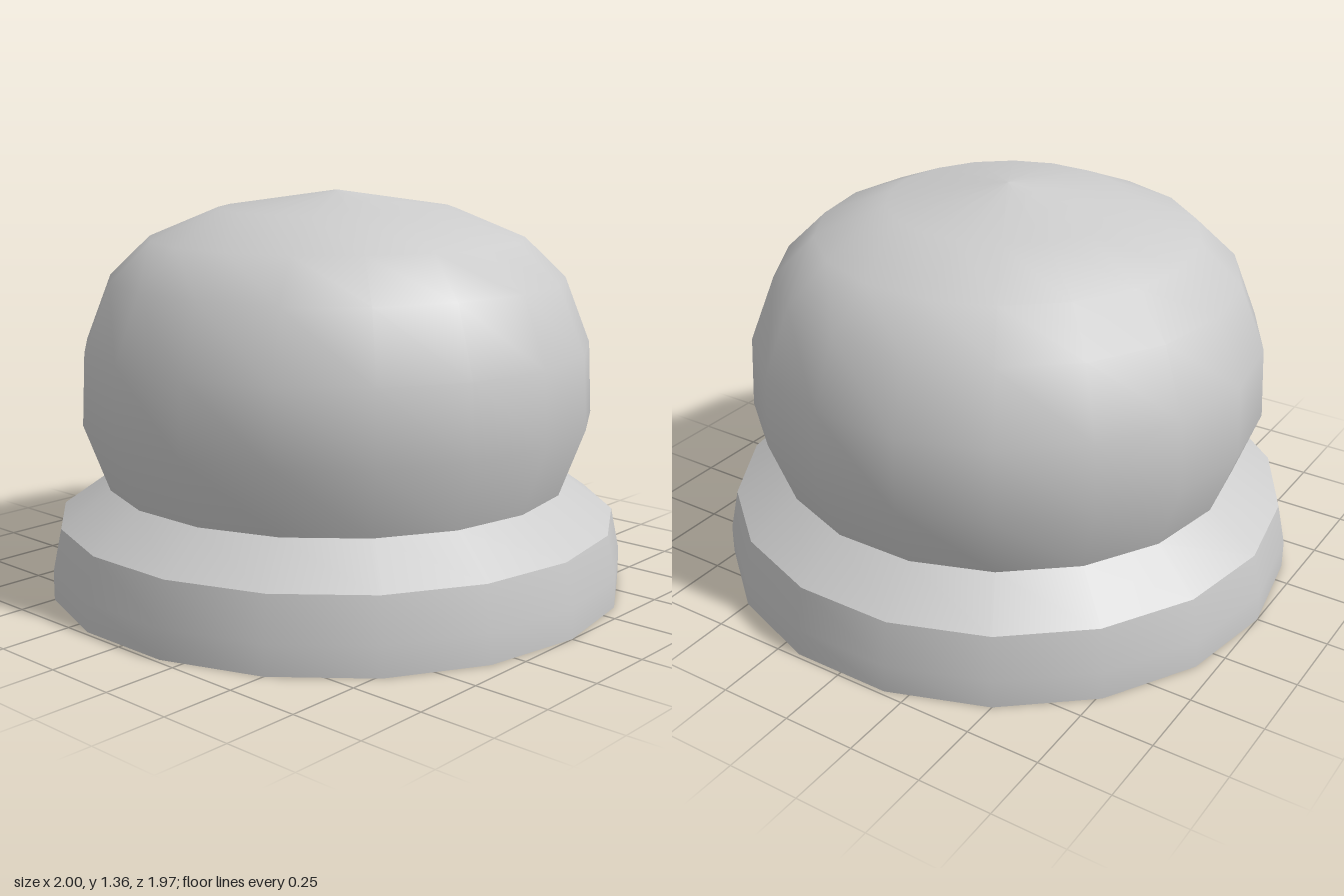
import * as THREE from 'three';

const SIDES = 18;
const material = new THREE.MeshStandardMaterial({ color: 0xcccccc, side: THREE.DoubleSide });

// Turn a profile of [radius, height] points, with a corner on the x axis
function turned(name, profile) {
  const points = profile.map(([r, y]) => new THREE.Vector2(r, y));
  const mesh = new THREE.Mesh(new THREE.LatheGeometry(points, SIDES, Math.PI / 2), material);
  mesh.name = name;
  return mesh;
}

// Turn each straight run separately, which keeps the edges between them sharp
function turnedSharp(name, profile) {
  const group = new THREE.Group();
  group.name = name;
  for (let i = 0; i < profile.length - 1; i++) {
    group.add(turned(name + 'Face' + i, [profile[i], profile[i + 1]]));
  }
  return group;
}

export function createModel() {
  const model = new THREE.Group();
  model.name = 'domedKnob';

  // Thin, open skirt and the sloping collar above it
  model.add(turned('skirt', [[1, 0], [1, 0.1], [0.97, 0.245]]));
  model.add(turned('collar', [[0.97, 0.245], [0.8, 0.365]]));

  // Rounded cap
  model.add(turned('dome', [
    [0.8, 0.365], [0.885, 0.595], [0.873, 0.84], [0.785, 1.065],
    [0.645, 1.2], [0.405, 1.3], [0, 1.36],
  ]));

  // Underside: central bore, shallow conical disc, groove and inner lip
  model.add(turnedSharp('plug', [
    [0, 0.6], [0.13, 0.6], [0.13, 0.3], [0.61, 0.25],
    [0.62, 0.45], [0.74, 0.45], [0.76, 0.365], [0.8, 0.365],
  ]));

  return model;
}
